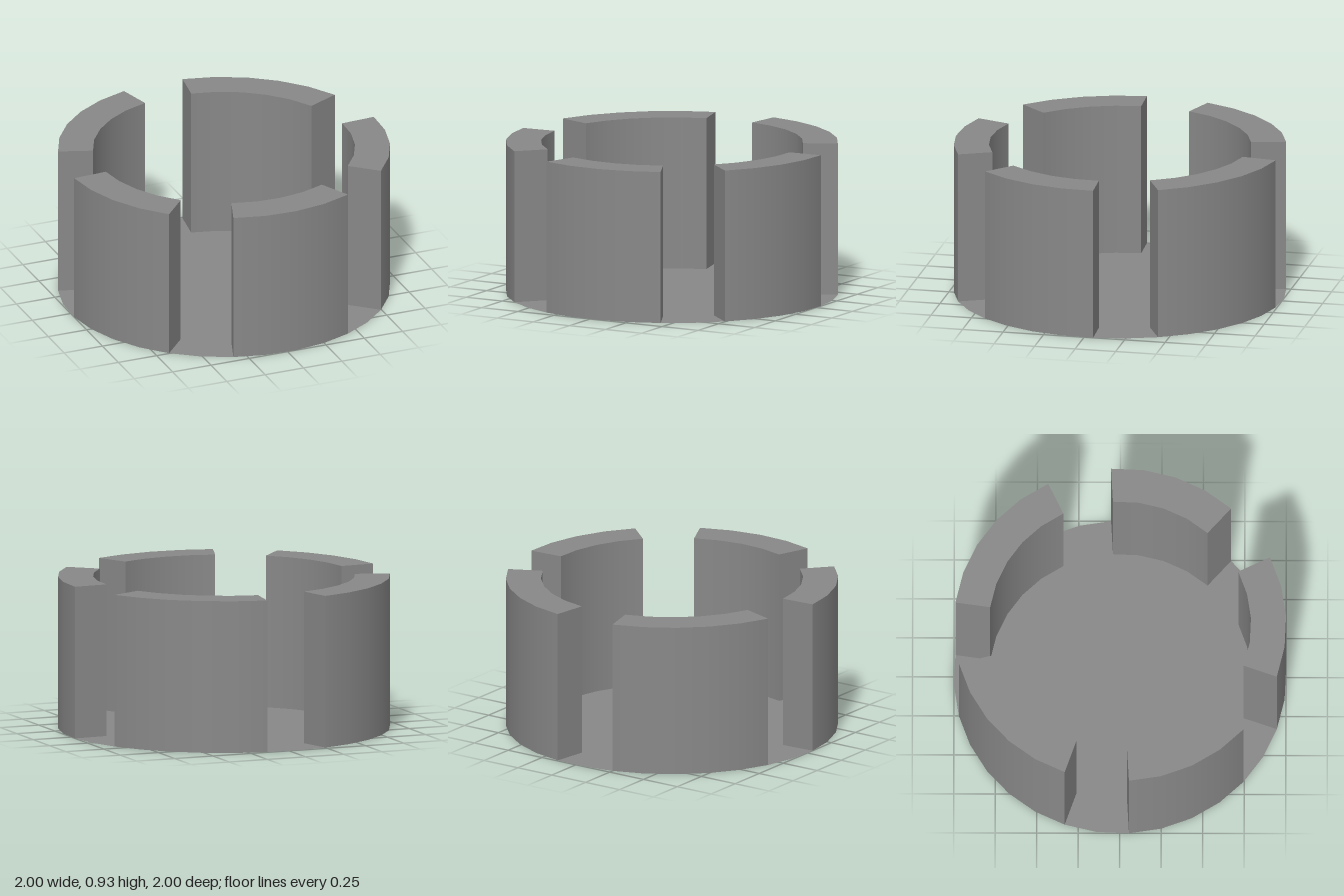
import * as THREE from 'three';

const R = 1.0016, INNER = 0.79, H = 0.925;
const STEP = Math.PI / 16;                 // 32-sided ring
const START = THREE.MathUtils.degToRad(-3.2);
const SEGMENTS = [4, 4, 4, 5, 5];          // sides in each wall block
const GAP = 2;                             // sides in each gap
const angle = (k) => START + k * STEP;     // measured from +x towards +z

const material = new THREE.MeshStandardMaterial({ color: 0x888888, side: THREE.DoubleSide });

function add(group, name, geometry) {
  const mesh = new THREE.Mesh(geometry, material);
  mesh.name = name;
  group.add(mesh);
}

// Smooth curved wall; inward turns faces and normals to the centre
function curvedWall(radius, k0, n, inward) {
  const g = new THREE.CylinderGeometry(radius, radius, H, n, 1, true,
    Math.PI / 2 - angle(k0 + n), n * STEP);
  g.translate(0, H / 2, 0);
  if (inward) {
    g.index.array.reverse();
    const normals = g.attributes.normal.array;
    for (let i = 0; i < normals.length; i++) normals[i] *= -1;
  }
  return g;
}

// Flat radial wall closing one end of a block
function endWall(a, flip) {
  const g = new THREE.PlaneGeometry(R - INNER, H);
  if (flip) g.rotateY(Math.PI);
  return g.translate((R + INNER) / 2, H / 2, 0).rotateY(-a);
}

// Hollow block, open underneath
function wallBlock(k0, n) {
  const block = new THREE.Group();
  block.name = 'wallBlock';
  add(block, 'outerWall', curvedWall(R, k0, n, false));
  add(block, 'innerWall', curvedWall(INNER, k0, n, true));
  add(block, 'startWall', endWall(angle(k0), true));
  add(block, 'endWall', endWall(angle(k0 + n), false));
  const top = new THREE.RingGeometry(INNER, R, n, 1, -angle(k0 + n), n * STEP);
  add(block, 'topFace', top.rotateX(-Math.PI / 2).translate(0, H, 0));
  return block;
}

export function createModel() {
  const model = new THREE.Group();
  model.name = 'slottedRing';
  const outline = [];
  const point = (r, k) => outline.push(
    new THREE.Vector2(r * Math.cos(angle(k)), -r * Math.sin(angle(k))));

  // Blocks around the ring, tracing the floor outline along the way
  let k = 0;
  for (const n of SEGMENTS) {
    model.add(wallBlock(k, n));
    for (let i = 0; i <= n; i++) point(INNER, k + i);
    for (let i = 0; i <= GAP; i++) point(R, k + n + i);
    k += n + GAP;
  }

  // Thin floor, notched under each block
  const floor = new THREE.ShapeGeometry(new THREE.Shape(outline));
  add(model, 'floor', floor.rotateX(-Math.PI / 2));
  return model;
}
